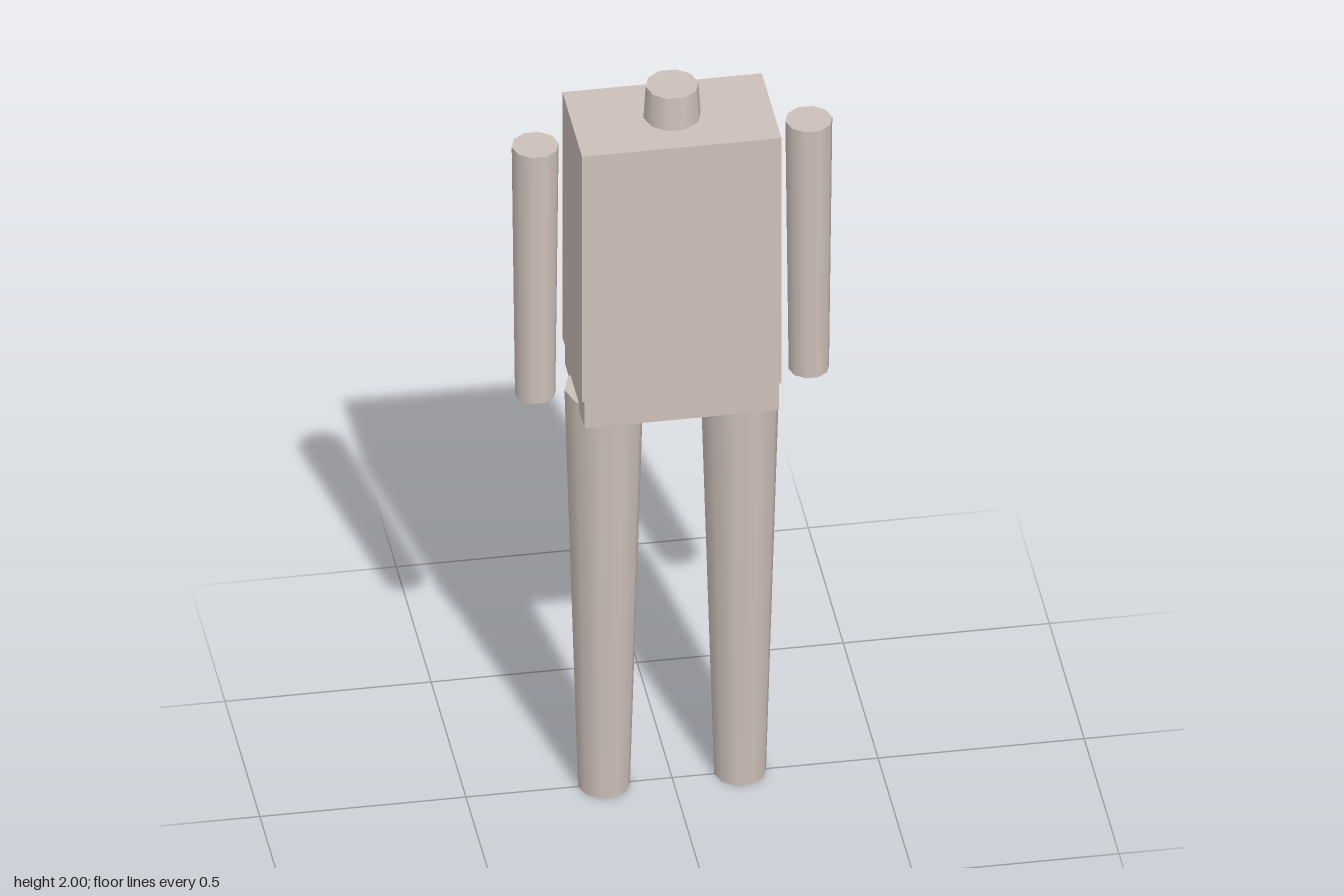
import * as THREE from 'three';

export function createModel() {
  const model = new THREE.Group();
  const clay = new THREE.MeshStandardMaterial({ color: 0xcdc0b9 });
  clay.name = 'warm grey';

  const add = (name, geometry, x, y) => {
    const mesh = new THREE.Mesh(geometry, clay);
    mesh.name = name;
    mesh.position.set(x, y, 0);
    model.add(mesh);
  };
  const block = (name, w, d, y0, y1) =>
    add(name, new THREE.BoxGeometry(w, y1 - y0, d), 0, (y0 + y1) / 2);
  // Ten-sided tapered limb with corners on the x axis
  const limb = (name, rTop, rBottom, x, y0, y1) => {
    const g = new THREE.CylinderGeometry(rTop, rBottom, y1 - y0, 10);
    g.rotateY(Math.PI / 2);
    add(name, g, x, (y0 + y1) / 2);
  };

  // Trunk: torso over a slightly narrower pelvis
  block('torso', 0.484, 0.281, 1.203, 1.911);
  block('pelvis', 0.472, 0.281, 1.127, 1.203);
  limb('neck', 0.064, 0.07, 0, 1.9, 2);

  // Arms and legs, mirrored
  for (const [side, s] of [['left', 1], ['right', -1]]) {
    limb(side + 'Arm', 0.057, 0.049, s * 0.332, 1.147, 1.862);
    limb(side + 'Leg', 0.096, 0.063, s * 0.165, 0, 1.147);
  }
  return model;
}
